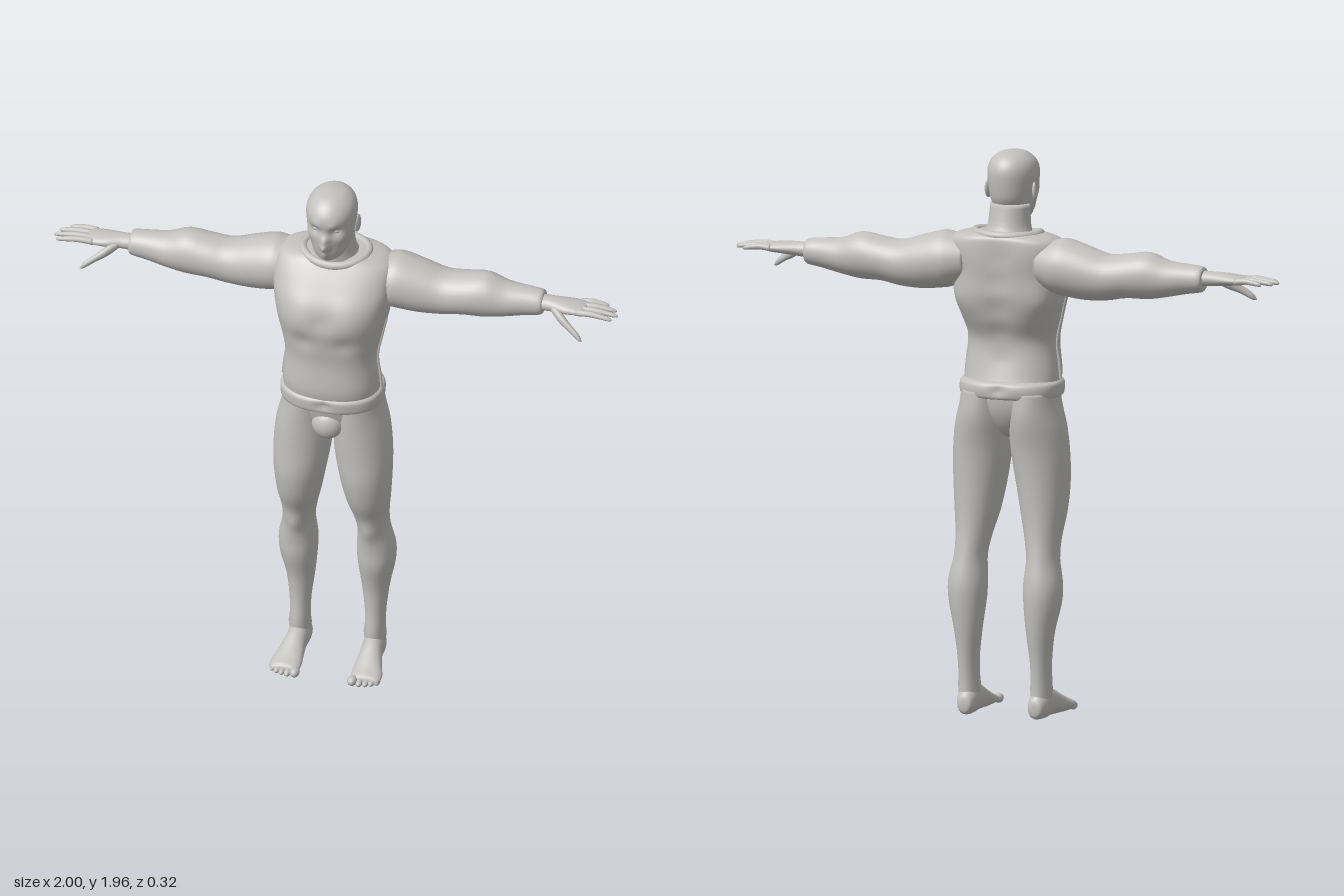
import * as THREE from 'three';

const AXES = { x: ['x', 'z', 'y'], y: ['y', 'x', 'z'], z: ['z', 'y', 'x'] };

// Smooth body through cross-sections [t, u, v, ru, rv, squareness] along an axis.
function loft(axis, rows, { seg = 32, sub = 4, side = 1, bumps = [] } = {}) {
  const [ta, ua, va] = AXES[axis];
  const pos = [], index = [], p = new THREE.Vector3();
  const rings = (rows.length - 1) * sub + 1;
  const push = () => pos.push(p.x * side, Math.max(p.y, 0), p.z);
  const section = (k) => {
    const i = Math.min(Math.floor(k / sub), rows.length - 2), f = k / sub - i;
    const at = (n) => rows[Math.min(Math.max(n, 0), rows.length - 1)];
    return [0, 1, 2, 3, 4, 5].map((c) => {
      const [a, b, d, e] = [at(i - 1), at(i), at(i + 1), at(i + 2)].map((r) => r[c] ?? 2);
      const m1 = (d - a) / 2, m2 = (e - b) / 2;
      const v = (2 * f ** 3 - 3 * f ** 2 + 1) * b + (f ** 3 - 2 * f ** 2 + f) * m1
        + (3 * f ** 2 - 2 * f ** 3) * d + (f ** 3 - f ** 2) * m2;
      return c === 3 || c === 4 ? Math.max(v, 0.0005) : v;
    });
  };
  const curve = (v, n) => Math.sign(v) * Math.abs(v) ** (2 / n);
  for (let k = 0; k < rings; k++) {
    const [t, u, v, ru, rv, n] = section(k);
    for (let j = 0; j < seg; j++) {
      const a = (j / seg) * Math.PI * 2;
      p[ta] = t;
      p[ua] = u + ru * curve(Math.cos(a), n);
      p[va] = v + rv * curve(Math.sin(a), n);
      // soft bumps and hollows, the same on both sides of x = 0
      const q = new THREE.Vector3(Math.abs(p.x), p.y, p.z), s = Math.sign(p.x);
      for (const [x, y, z, r, dx, dy, dz] of bumps) {
        const w = Math.exp(-((q.x - x) ** 2 + (q.y - y) ** 2 + (q.z - z) ** 2) / (2 * r * r));
        p.x += s * dx * w; p.y += dy * w; p.z += dz * w;
      }
      push();
    }
  }
  const tri = (a, b, c) => index.push(...(side > 0 ? [a, b, c] : [a, c, b]));
  for (let k = 0; k < rings - 1; k++) for (let j = 0; j < seg; j++) {
    const a = k * seg + j, b = k * seg + (j + 1) % seg;
    tri(a, a + seg, b);
    tri(b, a + seg, b + seg);
  }
  // end caps
  [0, rings - 1].forEach((k, end) => {
    const [t, u, v] = section(k), c = pos.length / 3;
    p[ta] = t; p[ua] = u; p[va] = v;
    push();
    for (let j = 0; j < seg; j++) {
      const a = k * seg + j, b = k * seg + (j + 1) % seg;
      if (end) tri(c, b, a); else tri(c, a, b);
    }
  });
  const g = new THREE.BufferGeometry();
  g.setAttribute('position', new THREE.Float32BufferAttribute(pos, 3));
  g.setIndex(index);
  g.computeVertexNormals();
  return g;
}

export function createModel() {
  const model = new THREE.Group();
  const clay = new THREE.MeshStandardMaterial({ color: 0xc2c1be });
  clay.name = 'clay grey';
  const add = (name, geometry) => {
    const m = new THREE.Mesh(geometry, clay);
    m.name = name;
    model.add(m);
    return m;
  };
  const blob = (name, x, y, z, rx, ry, rz) => {
    const m = add(name, new THREE.SphereGeometry(1, 24, 16));
    m.position.set(x, y, z);
    m.scale.set(rx, ry, rz);
    return m;
  };

  // Head with modelled face, and neck
  add('head', loft('y', [
    [1.712, 0, 0.065, 0.012, 0.012], [1.722, 0, 0.055, 0.042, 0.038], [1.75, 0, 0.032, 0.063, 0.076],
    [1.79, 0, 0.018, 0.076, 0.096], [1.84, 0, 0.015, 0.084, 0.105], [1.89, 0, 0.015, 0.087, 0.108],
    [1.925, 0, 0.012, 0.076, 0.092], [1.948, 0, 0.01, 0.051, 0.063], [1.957, 0, 0.01, 0.025, 0.03],
    [1.96, 0, 0.01, 0.001, 0.001],
  ], { seg: 96, sub: 8, bumps: [
    [0, 1.786, 0.12, 0.012, 0, 0, 0.032], [0, 1.815, 0.12, 0.012, 0, 0, 0.017],
    [0.034, 1.846, 0.11, 0.014, 0, 0, -0.014], [0.03, 1.869, 0.115, 0.013, 0, 0, 0.006],
    [0, 1.758, 0.11, 0.01, 0, 0, 0.008], [0, 1.743, 0.105, 0.009, 0, 0, 0.007],
    [0, 1.722, 0.085, 0.016, 0, 0, 0.01], [0.055, 1.815, 0.08, 0.018, 0.004, 0, 0.006],
  ] }));
  add('neck', loft('y', [
    [1.62, 0, -0.05, 0.11, 0.09], [1.67, 0, -0.037, 0.088, 0.085], [1.71, 0, -0.025, 0.074, 0.076],
    [1.78, 0, -0.015, 0.069, 0.07],
  ]));

  // Sweater body, collar and rolled hem
  const spine = [1.25, 1.34, 1.43, 1.52, 1.6].map((y) => [0, y, -0.13, 0.03, 0, 0, 0.01]);
  add('sweaterBody', loft('y', [
    [1.14, 0, 0.003, 0.168, 0.13, 2.3], [1.2, 0, 0.018, 0.168, 0.126, 2.3], [1.3, 0, 0.023, 0.159, 0.116, 2.3],
    [1.38, 0, 0.012, 0.174, 0.136, 2.3], [1.46, 0, 0.005, 0.192, 0.15, 2.4], [1.54, 0, -0.006, 0.205, 0.144, 2.5],
    [1.6, 0, -0.025, 0.21, 0.128, 2.6], [1.65, 0, -0.042, 0.205, 0.108, 2.6], [1.675, 0, -0.05, 0.175, 0.095, 2.4],
    [1.687, 0, -0.05, 0.12, 0.08, 2],
  ], { seg: 64, sub: 6, bumps: [
    [0.09, 1.5, 0.13, 0.05, 0, 0, 0.013], [0.07, 1.4, 0.14, 0.025, 0, 0, -0.008],
    [0, 1.49, 0.15, 0.02, 0, 0, -0.006], [0.13, 1.45, -0.1, 0.05, 0.012, 0, -0.012], ...spine,
  ] }));
  const neckline = [];
  for (let i = 0; i < 32; i++) {
    const a = (i / 32) * Math.PI * 2, c = Math.cos(a);
    neckline.push(new THREE.Vector3(0.115 * Math.sin(a), 1.682 - 0.016 * Math.max(c, 0) ** 2, -0.04 + 0.09 * c));
  }
  add('collar', new THREE.TubeGeometry(new THREE.CatmullRomCurve3(neckline, true), 64, 0.015, 10, true));
  add('hem', loft('y', [
    [1.108, 0, 0, 0.155, 0.12, 2.4], [1.114, 0, 0.002, 0.176, 0.139, 2.4], [1.138, 0, 0.002, 0.18, 0.144, 2.4],
    [1.16, 0, 0.004, 0.177, 0.141, 2.4], [1.17, 0, 0.005, 0.16, 0.125, 2.4],
  ], { seg: 64, bumps: [[0, 1.14, 0.145, 0.014, 0, 0, -0.012], [0, 1.14, -0.14, 0.014, 0, 0, 0.012]] }));

  // Hips
  add('hips', loft('y', [
    [0.965, 0, 0, 0.02, 0.04], [0.99, 0, 0, 0.07, 0.075], [1.04, 0, -0.005, 0.135, 0.1],
    [1.09, 0, -0.005, 0.165, 0.113], [1.15, 0, 0, 0.168, 0.12],
  ]));
  blob('frontBulge', 0, 1.03, 0.08, 0.055, 0.055, 0.04);

  for (const side of [1, -1]) {
    const name = (part) => (side > 0 ? 'left' : 'right') + part;

    blob(name('Eye'), side * 0.034, 1.845, 0.091, 0.014, 0.01, 0.011);
    const ear = blob(name('Ear'), side * 0.085, 1.822, -0.004, 0.009, 0.033, 0.019);
    ear.rotation.set(-0.15, side * -0.3, 0);

    // Side seam of the sweater
    const seam = [[0.176, 1.17], [0.171, 1.22], [0.162, 1.3], [0.177, 1.38], [0.194, 1.46]]
      .map(([x, y]) => new THREE.Vector3(side * (x - 0.001), y, 0.012));
    add(name('SideSeam'), new THREE.TubeGeometry(new THREE.CatmullRomCurve3(seam), 24, 0.005, 6));

    // Sleeve: shoulder, upper arm, elbow, forearm, cuff
    add(name('Sleeve'), loft('x', [
      [0.13, -0.06, 1.585, 0.08, 0.075], [0.19, -0.06, 1.578, 0.098, 0.094], [0.23, -0.06, 1.576, 0.1, 0.1],
      [0.3, -0.062, 1.563, 0.093, 0.094], [0.38, -0.063, 1.553, 0.084, 0.08], [0.45, -0.06, 1.562, 0.082, 0.077],
      [0.53, -0.06, 1.568, 0.077, 0.081], [0.6, -0.06, 1.562, 0.065, 0.063], [0.67, -0.06, 1.566, 0.053, 0.052],
      [0.725, -0.06, 1.568, 0.046, 0.044], [0.732, -0.06, 1.568, 0.034, 0.028],
    ], { side, seg: 36 }));

    // Hand with four fingers and a thumb
    add(name('Hand'), loft('x', [
      [0.71, -0.056, 1.57, 0.034, 0.028], [0.76, -0.054, 1.572, 0.034, 0.025], [0.81, -0.051, 1.573, 0.043, 0.022],
      [0.86, -0.052, 1.573, 0.044, 0.017], [0.885, -0.053, 1.572, 0.038, 0.011],
    ], { side }));
    [[-0.088, 0.955, -0.095], [-0.064, 0.988, -0.068], [-0.04, 1.0, -0.038], [-0.017, 0.985, -0.01]]
      .forEach(([z, tip, zTip], i) => {
        const at = (f, r, y) => [0.855 + (tip - 0.855) * f, z + (zTip - z) * f, y, r, r];
        add(name('Finger' + (i + 1)), loft('x', [
          at(0, 0.0115, 1.573), at(0.4, 0.0105, 1.577), at(0.8, 0.0085, 1.572), at(0.95, 0.006, 1.569),
          at(1, 0.001, 1.568),
        ], { side, seg: 12 }));
      });
    add(name('Thumb'), loft('x', [
      [0.765, -0.035, 1.57, 0.015, 0.014], [0.8, -0.01, 1.552, 0.019, 0.02], [0.84, 0.013, 1.528, 0.013, 0.015],
      [0.875, 0.028, 1.504, 0.01, 0.012], [0.889, 0.034, 1.493, 0.002, 0.002],
    ], { side, seg: 16 }));

    // Leg: ankle, calf, knee, thigh, buttock
    add(name('Leg'), loft('y', [
      [0.05, 0.132, -0.065, 0.035, 0.046], [0.12, 0.133, -0.062, 0.035, 0.048], [0.2, 0.133, -0.068, 0.037, 0.048],
      [0.3, 0.133, -0.072, 0.049, 0.058], [0.4, 0.138, -0.064, 0.065, 0.075], [0.47, 0.138, -0.06, 0.067, 0.076],
      [0.55, 0.133, -0.047, 0.056, 0.073], [0.62, 0.127, -0.031, 0.062, 0.078], [0.7, 0.122, -0.01, 0.077, 0.094],
      [0.8, 0.116, 0, 0.091, 0.105], [0.9, 0.108, -0.003, 0.1, 0.108], [1, 0.1, -0.008, 0.098, 0.114],
      [1.08, 0.093, -0.01, 0.085, 0.118], [1.13, 0.09, -0.01, 0.08, 0.118],
    ], { side, seg: 40, bumps: [
      [0.13, 0.56, 0.03, 0.025, 0, 0, 0.01], [0.08, 1.04, -0.12, 0.05, 0, 0, -0.01],
      [0.1, 0.1, -0.06, 0.014, -0.006, 0, 0], [0.167, 0.095, -0.06, 0.014, 0.006, 0, 0],
    ] }));

    // Foot and toes
    add(name('Foot'), loft('z', [
      [-0.124, 0.035, 0.13, 0.012, 0.012], [-0.115, 0.038, 0.13, 0.036, 0.027], [-0.07, 0.05, 0.132, 0.055, 0.038],
      [-0.01, 0.048, 0.134, 0.05, 0.038], [0.05, 0.032, 0.139, 0.036, 0.047], [0.09, 0.023, 0.143, 0.025, 0.054],
      [0.122, 0.018, 0.143, 0.017, 0.05], [0.13, 0.016, 0.143, 0.006, 0.035],
    ], { side }));
    [[0.102, 0.133, 0.017], [0.127, 0.132, 0.012], [0.148, 0.127, 0.011], [0.167, 0.119, 0.011], [0.184, 0.108, 0.011]]
      .forEach(([x, z, r], i) => blob(name('Toe' + (i + 1)), side * x, r + 0.001, z, r, r, 0.023));
  }
  return model;
}
